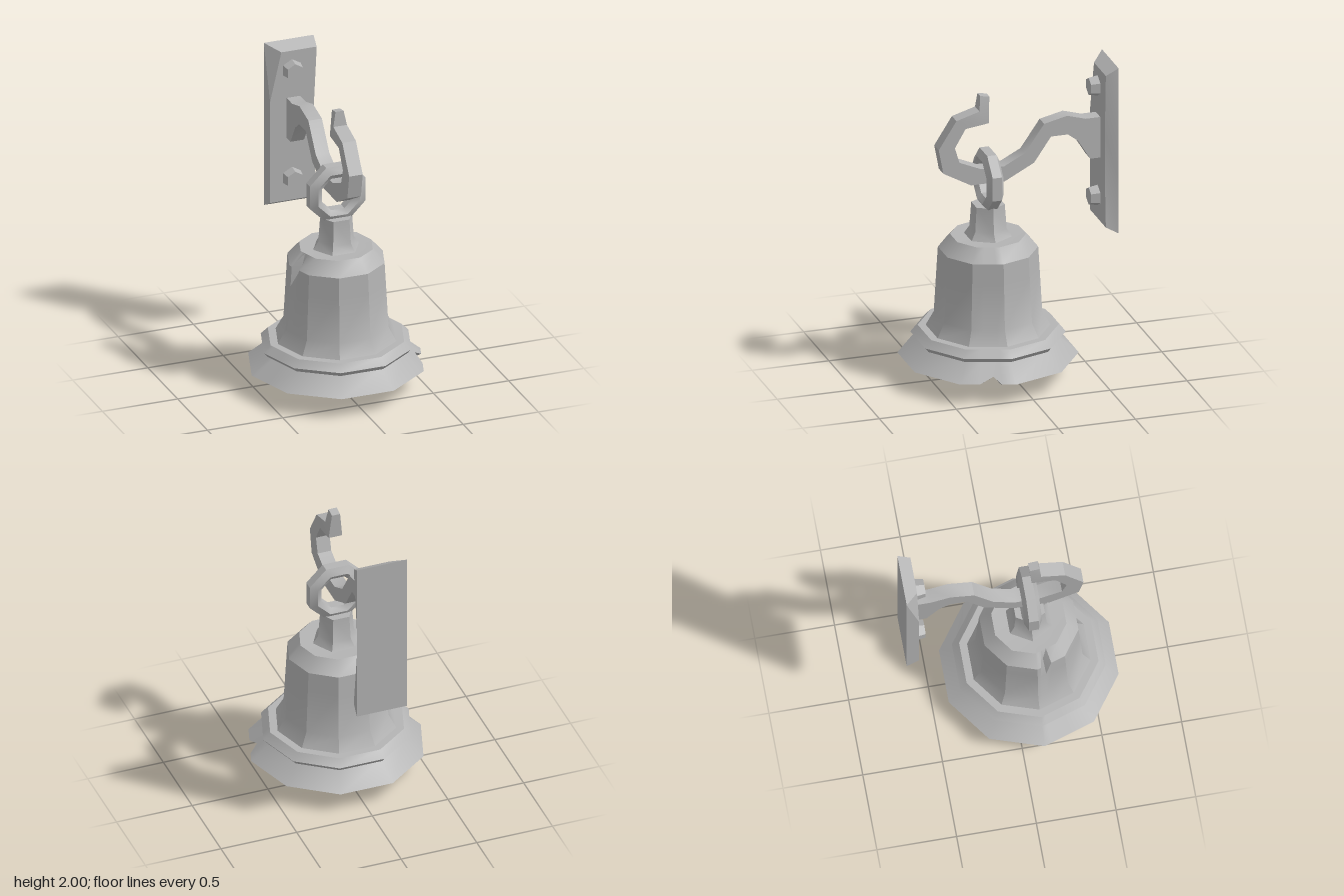
import * as THREE from 'three';
import { toCreasedNormals } from 'three/addons/utils/BufferGeometryUtils.js';

const BELL_Z = 0.13;
const iron = new THREE.MeshStandardMaterial({ color: 0xb4b4b4 });
iron.name = 'grey iron';

const v3 = (x, y, z) => new THREE.Vector3(x, y, z);
const pts = (list) => list.map(([x, y]) => new THREE.Vector2(x, y));

// Skin a row of equally long closed rings
function loft(rings) {
  const n = rings[0].length;
  const index = [];
  for (let r = 0; r < rings.length - 1; r++) {
    for (let i = 0; i < n; i++) {
      const a = r * n + i, b = r * n + (i + 1) % n;
      index.push(a, b, b + n, a, b + n, a + n);
    }
  }
  const geo = new THREE.BufferGeometry().setFromPoints(rings.flat());
  geo.setIndex(index);
  return geo;
}

function part(group, name, geo, x = 0, y = 0, z = 0) {
  const mesh = new THREE.Mesh(toCreasedNormals(geo, THREE.MathUtils.degToRad(30)), iron);
  mesh.name = name;
  mesh.position.set(x, y, z);
  group.add(mesh);
  return mesh;
}

// Ten-sided bell wall, with extra columns where the metal is chipped
function bellGeometry() {
  const profile = [
    [0, 0.86], [0.2, 0.86], [0.27, 0.78], [0.32, 0.36], [0.47, 0.115],
    [0.56, 0.145], [0.435, 0.25], [0.455, 0.255], [0.48, 0.285], [0.435, 0.33],
    [0.385, 0.33], [0.335, 0.42], [0.318, 0.72], [0.31, 0.85], [0.235, 0.935], [0.14, 0.93], [0, 0.93],
  ];
  const corner = (i) => {
    const a = (i / 10) * Math.PI * 2;
    return new THREE.Vector2(Math.cos(a), -Math.sin(a));
  };
  const chips = { 5: [0.12, 0.3, 0.5], 9: [0.35, 0.6, 0.75] };
  const columns = [];
  for (let i = 0; i < 10; i++) {
    columns.push({ dir: corner(i) });
    (chips[i] || []).forEach((t, k) => columns.push({
      dir: corner(i).lerp(corner(i + 1), t),
      chip: k === 1 ? (i === 9 ? 'rim' : 'shoulder') : null,
    }));
  }
  return loft(profile.map(([r, y]) => columns.map(({ dir, chip }) => {
    let s = r, h = y;
    if (chip === 'rim' && y < 0.15) {
      s *= 0.92;
      h = y < 0.13 ? 0.165 : 0.18;
    }
    if (chip === 'shoulder' && r === 0.31) s *= 0.83;
    return v3(dir.x * s, h, dir.y * s);
  })));
}

// Wall plate with bevelled front, a cut corner and a worn edge
function plateGeometry() {
  const front = [[-0.155, 0.945], [0.155, 0.945], [0.135, 1.28], [0.135, 1.55],
    [0.155, 1.955], [-0.08, 1.955], [-0.155, 1.63]];
  const back = [[-0.165, 0.9], [0.165, 0.9], [0.165, 1.28], [0.165, 1.55],
    [0.165, 2], [-0.165, 2], [-0.165, 1.63]];
  const ring = (list, z) => list.map(([x, y]) => v3(x, y, z));
  const centre = (z) => front.map(() => v3(0, 1.45, z));
  return loft([centre(-0.665), ring(back, -0.665), ring(front, -0.585), centre(-0.585)]);
}

// Flat bar bent into an S, outline drawn as [z, y]
function hookGeometry() {
  const outline = [
    [0.19, 1.87], [0.13, 1.86], [0.14, 1.69], [0.29, 1.67], [0.36, 1.55], [0.33, 1.45],
    [0.19, 1.39], [0.04, 1.39], [-0.095, 1.46], [-0.22, 1.64], [-0.37, 1.675], [-0.49, 1.64],
    [-0.59, 1.64], [-0.59, 1.37], [-0.52, 1.37], [-0.44, 1.5], [-0.375, 1.55], [-0.265, 1.55],
    [-0.155, 1.39], [0.035, 1.29], [0.255, 1.29], [0.435, 1.39], [0.465, 1.55], [0.35, 1.73], [0.2, 1.775],
  ];
  const geo = new THREE.ExtrudeGeometry(new THREE.Shape(pts(outline)), { depth: 0.09, bevelEnabled: false });
  geo.translate(0, 0, -0.045).rotateY(-Math.PI / 2);
  // Narrow the tip
  const p = geo.attributes.position;
  for (let i = 0; i < p.count; i++) if (p.getY(i) > 1.8) p.setX(i, p.getX(i) * 0.6);
  return geo;
}

export function createModel() {
  const model = new THREE.Group();
  model.name = 'wallBell';

  // Wall mount
  const mount = new THREE.Group();
  mount.name = 'wallMount';
  part(mount, 'wallPlate', plateGeometry());
  part(mount, 'hook', hookGeometry());
  for (const y of [1.83, 1.1]) {
    const bolt = new THREE.CylinderGeometry(0.057, 0.068, 0.06, 6).rotateX(Math.PI / 2);
    part(mount, 'bolt', bolt, -0.01, y, -0.557);
  }

  // Hanging bell
  const bell = new THREE.Group();
  bell.name = 'bell';
  bell.position.z = BELL_Z;
  part(bell, 'bellBody', bellGeometry());

  const neck = pts([[0.155, 0.925], [0.118, 0.98], [0.106, 1.14], [0, 1.14]]);
  part(bell, 'neck', new THREE.LatheGeometry(neck, 6, Math.PI / 2));

  const section = pts([[0.15, -0.055], [0.2, -0.03], [0.2, 0.03], [0.15, 0.055], [0.115, 0.03], [0.115, -0.03], [0.15, -0.055]]);
  const ring = new THREE.LatheGeometry(section, 8, Math.PI / 8).rotateX(Math.PI / 2);
  part(bell, 'hangingRing', ring, 0, 1.3, 0);

  part(bell, 'clapperRod', new THREE.BoxGeometry(0.04, 0.66, 0.04), 0, 0.54, 0);
  part(bell, 'clapperBall', new THREE.SphereGeometry(0.12, 6, 4), 0, 0.125, 0);

  model.add(mount, bell);
  return model;
}
